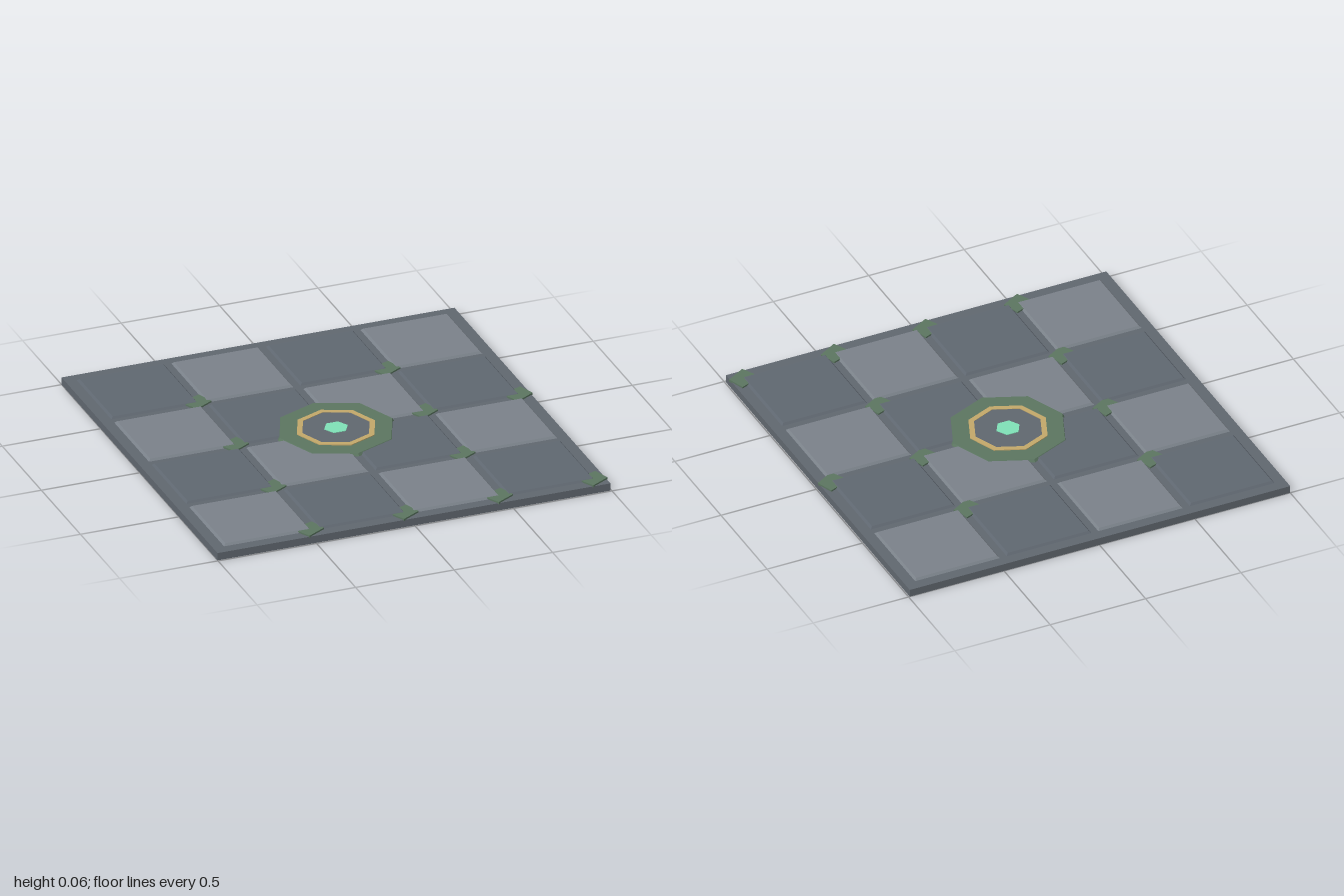
import * as THREE from 'three';

const PITCH = 0.48, OFFSET = -0.003;
const mat = (color) => new THREE.MeshStandardMaterial({ color, flatShading: true });

function addMesh(parent, name, geometry, material, x, y, z) {
  const mesh = new THREE.Mesh(geometry, material);
  mesh.name = name;
  mesh.position.set(x, y, z);
  parent.add(mesh);
  return mesh;
}

// Square slab whose top is smaller than its foot
function bevelledSlab(size, height, inset) {
  const g = new THREE.BoxGeometry(size, height, size);
  const p = g.attributes.position, s = (size - 2 * inset) / size;
  for (let i = 0; i < p.count; i++) {
    if (p.getY(i) > 0) p.setXYZ(i, p.getX(i) * s, p.getY(i), p.getZ(i) * s);
  }
  g.computeVertexNormals();
  return g;
}

// Flat polygon prism, outline given in x and z
function prism(points, height) {
  const shape = new THREE.Shape(points.map(([x, z]) => new THREE.Vector2(x, -z)));
  return new THREE.ExtrudeGeometry(shape, { depth: height, bevelEnabled: false }).rotateX(-Math.PI / 2);
}

export function createModel() {
  const model = new THREE.Group();
  model.name = 'floorPanel';
  const baseStone = mat(0x60676f), darkStone = mat(0x5f6770), lightStone = mat(0x7a8189);
  const moss = mat(0x5b7560), gold = mat(0xc2a769), mint = mat(0x7fdfb6);

  // Base slab
  addMesh(model, 'base', new THREE.BoxGeometry(1.994, 0.038, 1.994), baseStone, OFFSET, 0.019, OFFSET);

  // Checkered tiles
  const tiles = new THREE.Group();
  tiles.name = 'tiles';
  model.add(tiles);
  const tileGeometry = bevelledSlab(0.448, 0.012, 0.012);
  for (let i = 0; i < 4; i++) {
    for (let j = 0; j < 4; j++) {
      addMesh(tiles, 'tile', tileGeometry, (i + j) % 2 ? lightStone : darkStone,
        OFFSET + (i - 1.5) * PITCH, 0.042, OFFSET + (j - 1.5) * PITCH);
    }
  }

  // Moss clumps in the joints at tile corners: [column, row]
  const clumps = new THREE.Group();
  clumps.name = 'mossClumps';
  model.add(clumps);
  const mossGeometry = prism([[0.064, 0.016], [-0.03, 0.07], [-0.064, 0.005], [-0.04, -0.04], [0.034, -0.068]], 0.012);
  const spots = [[0, 0], [2, 0], [0, 1], [2, 1], [3, 1], [0, 2], [2, 2], [0, 3], [1, 3], [2, 3], [3, 3]];
  for (const [i, j] of spots) {
    addMesh(clumps, 'mossClump', mossGeometry, moss, -0.504 + i * PITCH, 0.034, -0.512 + j * PITCH);
  }

  // Central medallion: green octagon, gold ring, stone centre, gem
  const medallion = new THREE.Group();
  medallion.name = 'medallion';
  medallion.position.set(OFFSET, 0, OFFSET);
  model.add(medallion);
  addMesh(medallion, 'mossOctagon', new THREE.CylinderGeometry(0.285, 0.295, 0.014, 8), moss, 0, 0.044, 0);
  const ring = (r) => Array.from({ length: 8 }, (_, k) =>
    new THREE.Vector2(r * Math.cos(k * Math.PI / 4), r * Math.sin(k * Math.PI / 4)));
  const ringShape = new THREE.Shape(ring(0.198));
  ringShape.holes.push(new THREE.Path(ring(0.17)));
  const ringGeometry = new THREE.ExtrudeGeometry(ringShape, { depth: 0.008, bevelEnabled: false }).rotateX(-Math.PI / 2);
  addMesh(medallion, 'goldRing', ringGeometry, gold, 0, 0.047, 0);
  addMesh(medallion, 'stoneCentre', new THREE.CylinderGeometry(0.172, 0.172, 0.012, 8), baseStone, 0, 0.047, 0);
  const gem = addMesh(medallion, 'gem', new THREE.CylinderGeometry(0.06, 0.06, 0.008, 6), mint, 0, 0.052, 0);
  gem.rotation.y = Math.PI / 2;

  return model;
}
